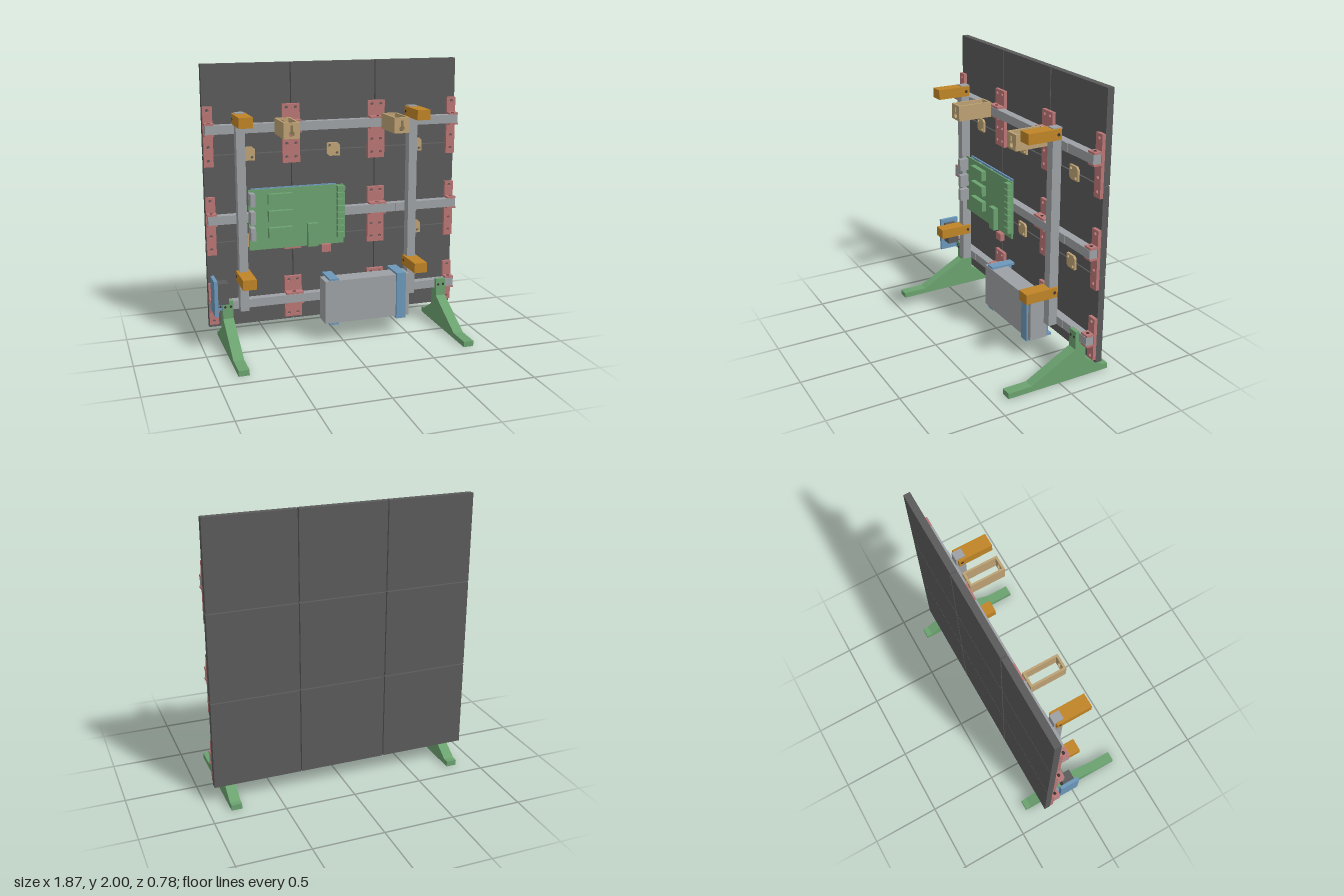
import * as THREE from 'three';

const mat = (name, color) => {
  const m = new THREE.MeshStandardMaterial({ color });
  m.name = name;
  return m;
};

export function createModel() {
  const model = new THREE.Group();
  model.name = 'displayWall';
  const dark = mat('charcoal', 0x5a5a5a), grey = mat('aluminium', 0x9da1a5), red = mat('dustyRed', 0xb97675);
  const green = mat('green', 0x6ba26f), tan = mat('tan', 0xbda274), orange = mat('orange', 0xc08427);
  const blue = mat('blue', 0x6c98ba), hole = mat('boltHole', 0x3c3434);

  const add = (name, geo, m, parent = model) => {
    const mesh = new THREE.Mesh(geo, m);
    mesh.name = name;
    parent.add(mesh);
    return mesh;
  };
  // Box given by its extents
  const box = (name, m, x0, x1, y0, y1, z0, z1, parent) => {
    const b = add(name, new THREE.BoxGeometry(x1 - x0, y1 - y0, z1 - z0), m, parent);
    b.position.set((x0 + x1) / 2, (y0 + y1) / 2, (z0 + z1) / 2);
    return b;
  };
  const shapeOf = pts => new THREE.Shape(pts.map(p => new THREE.Vector2(...p)));
  const rect = (x0, x1, y0, y1) => shapeOf([[x0, y0], [x1, y0], [x1, y1], [x0, y1]]);
  const drill = (shape, x, y, r) => shape.holes.push(new THREE.Path().absarc(x, y, r, 0, Math.PI * 2, true));
  // Plate in the XY plane between z0 and z1
  const plate = (name, m, shape, z0, z1, parent) => {
    const g = new THREE.ExtrudeGeometry(shape, { depth: z1 - z0, bevelEnabled: false, curveSegments: 6 });
    return add(name, g.translate(0, 0, z0), m, parent);
  };
  // Thin disc marking a bolt hole; axis is the direction it faces
  const bolt = (x, y, z, r, axis, parent) => {
    const d = add('boltHole', new THREE.CylinderGeometry(r, r, 0.004, 16), hole, parent);
    if (axis === 'z') d.rotation.x = Math.PI / 2;
    if (axis === 'x') d.rotation.z = Math.PI / 2;
    d.position.set(x, y, z);
  };

  // 3 x 3 display panels with narrow seams
  const tile = 1.87 / 3, gap = 0.004;
  for (let i = 0; i < 3; i++) for (let j = 0; j < 3; j++) {
    const x = -0.935 + i * tile, y = 0.13 + j * tile;
    box('panel', dark, x + (i ? gap : 0), x + tile - (i < 2 ? gap : 0),
      y + (j ? gap : 0), y + tile - (j < 2 ? gap : 0), -0.277, -0.23);
  }

  // Horizontal and vertical rails
  const railY = [0.307, 0.932, 1.563], postX = [-0.703, 0.553];
  for (const y of railY) box('horizontalRail', grey, -0.93, 0.93, y - 0.031, y + 0.031, -0.206, -0.148);
  for (const x of postX) {
    box('verticalRail', grey, x - 0.031, x + 0.031, 0.276, 1.67, -0.148, -0.08);
    // Joint blocks where rails cross
    for (const y of railY) for (const s of [-1, 1]) {
      box('railJoint', grey, x + s * 0.066 - 0.035, x + s * 0.066 + 0.035, y - 0.03, y + 0.03, -0.15, -0.144);
    }
  }

  // Red panel brackets: drilled back plate with flanges gripping the rail
  const bracketX = [[-0.935, -0.868], [-0.38, -0.253], [0.253, 0.38], [0.868, 0.935]];
  railY.forEach((y, row) => {
    for (const [x0, x1] of bracketX) {
      const g = new THREE.Group();
      g.name = 'railBracket';
      model.add(g);
      const bottom = row === 0 ? y - 0.154 : y - 0.264;
      const s = rect(x0, x1, bottom, y + 0.153);
      const mid = (x0 + x1) / 2;
      const xs = x1 - x0 > 0.1 ? [mid - 0.033, mid + 0.033] : [mid + Math.sign(-mid) * -0.002];
      for (const x of xs) for (const dy of row === 0 ? [0.127, -0.127] : [0.127, -0.127, -0.222]) {
        drill(s, x, y + dy, 0.012);
      }
      plate('bracketPlate', red, s, -0.23, -0.206, g);
      for (const k of [-1, 1]) {
        const c = y + k * 0.038;
        box('bracketFlange', red, x0, x1, c - 0.007, c + 0.007, -0.215, -0.152, g);
        bolt(mid, c + k * 0.006, -0.18, 0.012, 'y', g);
      }
    }
  });

  // Tan corner clips joining the panels
  for (const x of [-0.625, -0.005, 0.628]) for (const y of [0.753, 1.377]) {
    const s = shapeOf([[x - 0.048, y - 0.03], [x - 0.03, y - 0.048], [x + 0.048, y - 0.048], [x + 0.048, y + 0.03],
      [x + 0.03, y + 0.048], [x - 0.048, y + 0.048]]);
    drill(s, x - 0.028, y + 0.028, 0.011);
    drill(s, x + 0.028, y - 0.028, 0.011);
    plate('cornerClip', tan, s, -0.23, -0.213);
  }

  // Tan hanger frames with a keyhole in front and back walls
  for (const x of [-0.395, 0.39]) {
    const g = new THREE.Group();
    g.name = 'hangerFrame';
    model.add(g);
    for (const [z0, z1] of [[-0.146, -0.13], [0.094, 0.11]]) {
      const s = rect(x - 0.056, x + 0.056, 1.52, 1.63);
      const key = new THREE.Path();
      key.moveTo(x - 0.009, 1.61);
      key.lineTo(x - 0.009, 1.57);
      key.absarc(x, 1.552, 0.02, Math.PI * 0.65, Math.PI * 2.35, false);
      key.lineTo(x + 0.009, 1.61);
      key.closePath();
      s.holes.push(key);
      plate('hangerWall', tan, s, z0, z1, g);
    }
    for (const k of [-1, 1]) box('hangerSide', tan, x + k * 0.049 - 0.007, x + k * 0.049 + 0.007, 1.52, 1.63, -0.131, 0.095, g);
  }

  // Orange arms clamped on the vertical rails
  for (const x of postX) for (const y of [0.53, 1.64]) {
    box('supportArm', orange, x - 0.048, x + 0.048, y - 0.036, y + 0.036, -0.135, 0.11);
    for (const k of [-1, 1]) bolt(x + k * 0.047, y, -0.112, 0.011, 'x');
  }
  for (const x of postX) box('railEnd', grey, x - 0.031, x + 0.031, 1.66, 1.682, -0.148, -0.08);

  // Control board with its components and blue mounting plate
  const board = new THREE.Group();
  board.name = 'controlBoard';
  model.add(board);
  box('circuitBoard', green, -0.655, 0.035, 0.71, 1.142, -0.116, -0.106, board);
  box('boardMount', blue, -0.63, -0.01, 0.72, 1.145, -0.146, -0.134, board);
  for (const x of [-0.6, -0.47, -0.3, -0.05]) for (const y of [0.74, 1.12])
    box('standoff', blue, x - 0.015, x + 0.015, y - 0.015, y + 0.015, -0.135, -0.115, board);
  for (const y of [0.831, 0.952, 1.073])
    box('chip', green, -0.52, -0.345, y - 0.037, y + 0.037, -0.107, -0.07, board);
  for (const y of [0.84, 0.955, 1.082])
    box('socket', grey, -0.655, -0.62, y - 0.045, y + 0.045, -0.107, -0.035, board);
  for (let i = 0; i < 8; i++)
    box('connector', green, -0.016, 0.037, 0.757 + i * 0.048, 0.799 + i * 0.048, -0.107, -0.07, board);
  box('cardSlot', green, -0.238, -0.164, 0.71, 0.878, -0.107, -0.07, board);
  box('powerPlug', red, -0.135, -0.068, 0.66, 0.715, -0.106, -0.073, board);

  // Power supply held by two straps
  box('powerSupply', grey, -0.14, 0.503, 0.148, 0.465, -0.118, 0.015);
  for (const [x0, x1, front] of [[0.4, 0.472, 0.028], [-0.106, -0.037, 0.01]]) {
    box('strapTop', blue, x0, x1, 0.464, 0.48, -0.175, front);
    box('strapBottom', blue, x0, x1, 0.132, 0.149, -0.175, front);
    for (const [y0, y1] of [[0.34, 0.48], [0.132, 0.274]]) box('strapBack', blue, x0, x1, y0, y1, -0.148, -0.118);
  }
  box('strapFront', blue, 0.4, 0.472, 0.132, 0.48, 0.014, 0.028);

  // Power inlet on a blue side bracket
  box('inletBracket', blue, -0.93, -0.905, 0.285, 0.54, -0.148, 0);
  box('inletFoot', blue, -0.93, -0.855, 0.28, 0.335, -0.148, -0.135);
  for (const x of [-0.888, -0.868]) bolt(x, 0.307, -0.135, 0.008, 'z');
  box('powerInlet', dark, -0.905, -0.825, 0.36, 0.512, -0.112, -0.025);

  // Feet: one profile extruded across the width
  const profile = [[0.39, 0], [0.39, 0.04], [0.215, 0.04], [-0.12, 0.22], [-0.12, 0.35], [-0.148, 0.35],
    [-0.148, 0.272], [-0.205, 0.272], [-0.205, 0.13], [-0.228, 0.115], [-0.35, 0.04], [-0.39, 0.04], [-0.39, 0]];
  for (const x of [-0.816, 0.816]) {
    const g = new THREE.ExtrudeGeometry(shapeOf(profile.map(([z, y]) => [-z, y])), { depth: 0.074, bevelEnabled: false });
    g.translate(0, 0, -0.037).rotateY(Math.PI / 2);
    add('foot', g, green).position.x = x;
    for (const dx of [-0.02, 0.02]) bolt(x + dx, 0.307, -0.12, 0.009, 'z');
  }
  return model;
}
